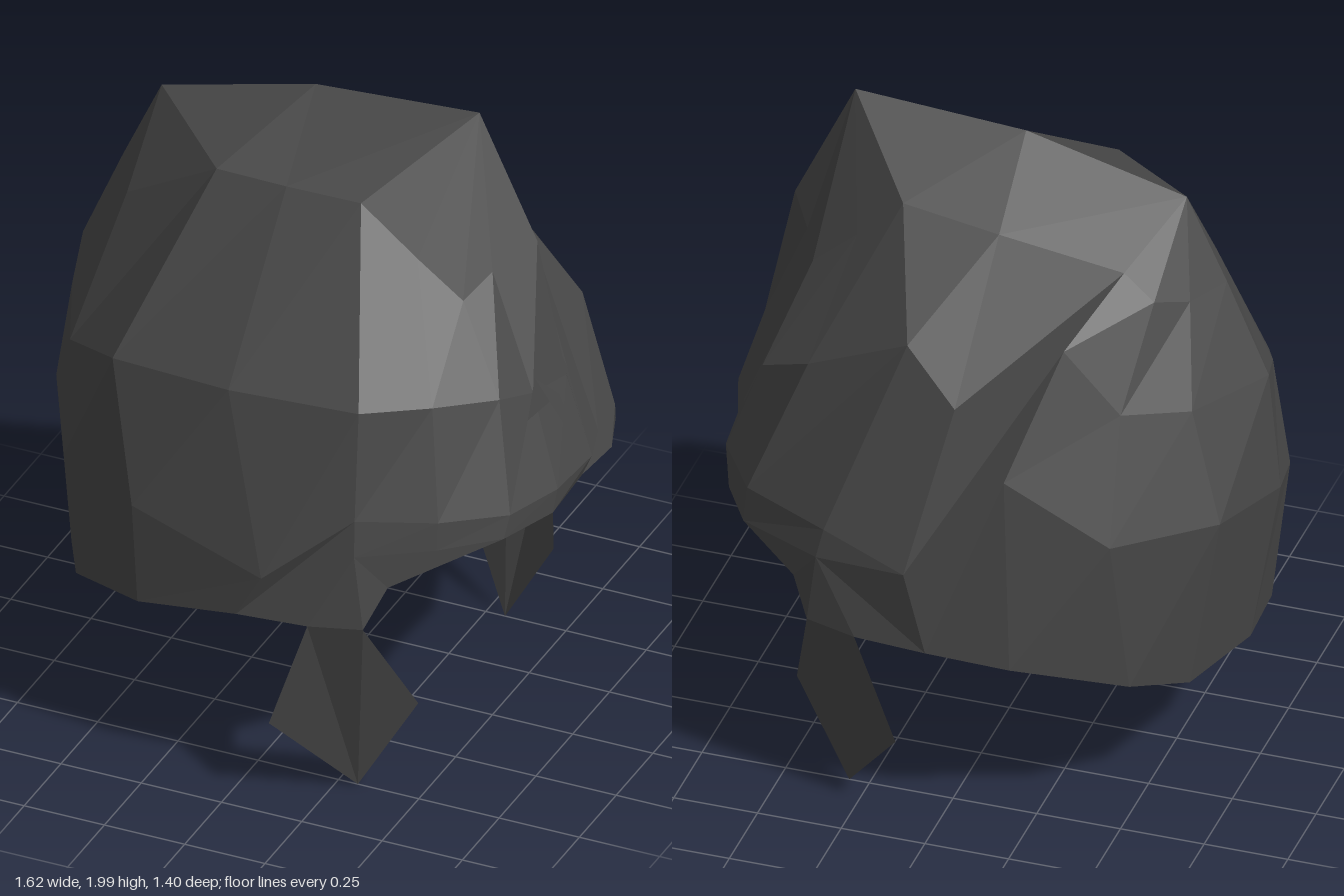
import * as THREE from 'three';

const charcoal = new THREE.MeshStandardMaterial({ color: 0x484848 });
charcoal.name = 'charcoal';
charcoal.flatShading = true;
charcoal.side = THREE.DoubleSide;

// Mesh from a list of triangles, each three corner points.
function facetMesh(name, triangles) {
  const g = new THREE.BufferGeometry();
  g.setAttribute('position', new THREE.Float32BufferAttribute(triangles.flat(2), 3));
  g.computeVertexNormals();
  const mesh = new THREE.Mesh(g, charcoal);
  mesh.name = name;
  return mesh;
}

const fan = (pts) => pts.slice(2).map((p, i) => [pts[0], pts[i + 1], p]);

// Skin between neighbouring ribs, skipping faces that collapse at the ridge.
function loft(ribs) {
  const tris = [];
  for (let i = 0; i + 1 < ribs.length; i++) {
    for (let j = 0; j + 1 < ribs[i].length; j++) {
      const a = ribs[i][j], b = ribs[i + 1][j];
      const c = ribs[i][j + 1], d = ribs[i + 1][j + 1];
      tris.push([a, c, b]);
      if (c !== d) tris.push([c, d, b]);
    }
  }
  return tris;
}

// Hanging leaf-shaped strap; s is the side, outer the depth of its outer corner.
function strap(s, outer) {
  const pts = [[0.31, 0.01, 0.5], [0.48, 0.3, 0.46], [0.39, 0.62, 0.64],
    [0.235, 0.615, 0.68], [0.12, 0.27, outer]].map(([x, y, z]) => [x, y, z * s]);
  return fan(s > 0 ? pts : [pts[0], ...pts.slice(1).reverse()]);
}

export function createModel() {
  const model = new THREE.Group();
  model.name = 'helmet';

  // Ridge points and the two ribs on the centre line (rim to ridge)
  const peak = [0.46, 2, 0], crest = [-0.05, 1.965, 0], back = [-0.53, 1.84, 0];
  const brow = [[0.78, 0.88, 0], [0.81, 0.95, 0], [0.73, 1.2, 0], [0.64, 1.62, 0], peak];
  const nape = [[-0.72, 0.4, 0], [-0.81, 0.92, 0], [-0.775, 1.29, 0], [-0.65, 1.58, 0], back];

  // Ribs of the left half, face opening to nape
  const left = [
    [[0.78, 0.865, 0.2], [0.79, 0.94, 0.19], [0.7, 1.22, 0.16], [0.56, 1.57, 0.13], peak],
    [[0.71, 0.86, 0.38], [0.72, 0.93, 0.36], [0.65, 1.25, 0.28], [0.51, 1.51, 0.22], peak],
    [[0.56, 0.855, 0.51], [0.56, 0.94, 0.5], [0.51, 1.27, 0.43], [0.38, 1.63, 0.245], peak],
    [[0.36, 0.85, 0.635], [0.355, 0.96, 0.62], [0.34, 1.28, 0.56], [0.21, 1.78, 0.26], peak],
    [[0.02, 0.61, 0.695], [0.1, 0.75, 0.7], [-0.05, 1.28, 0.595], [-0.02, 1.78, 0.265], crest],
    [[-0.31, 0.54, 0.645], [-0.33, 0.85, 0.64], [-0.44, 1.25, 0.53], [-0.24, 1.78, 0.26], back],
    [[-0.6, 0.44, 0.43], [-0.67, 0.78, 0.36], [-0.66, 1.15, 0.34], [-0.56, 1.57, 0.17], back],
    [[-0.71, 0.4, 0.22], [-0.785, 0.9, 0.16], [-0.73, 1.23, 0.17], [-0.61, 1.58, 0.09], back],
  ];

  // Ribs of the right half, which is dented a little differently
  const right = [
    [[0.78, 0.86, -0.2], [0.76, 0.94, -0.15], [0.65, 1.2, -0.12], [0.57, 1.57, -0.1], peak],
    [[0.71, 0.84, -0.38], [0.74, 0.93, -0.31], [0.62, 1.25, -0.35], [0.52, 1.53, -0.2], peak],
    [[0.63, 0.81, -0.49], [0.62, 0.92, -0.485], [0.46, 1.33, -0.42], [0.38, 1.66, -0.22], peak],
    [[0.36, 0.84, -0.65], [0.34, 0.93, -0.64], [0.14, 1.5, -0.49], [0.24, 1.8, -0.23], peak],
    [[0.02, 0.61, -0.69], [0.08, 0.87, -0.705], [-0.02, 1.35, -0.545], [-0.05, 1.76, -0.24], crest],
    [[-0.22, 0.58, -0.655], [-0.19, 1.18, -0.615], [-0.3, 1.52, -0.41], [-0.41, 1.68, -0.2], back],
    [[-0.52, 0.48, -0.48], [-0.475, 0.96, -0.52], [-0.46, 1.32, -0.38], [-0.5, 1.6, -0.2], back],
    [[-0.64, 0.41, -0.3], [-0.73, 0.96, -0.3], [-0.63, 1.29, -0.25], [-0.58, 1.57, -0.12], back],
  ];

  // Shell halves, with cheek pieces joining brim, side and strap
  model.add(
    facetMesh('shellLeft', loft([brow, ...left, nape])),
    facetMesh('shellRight', loft([nape, ...right.toReversed(), brow])),
    facetMesh('cheekLeft', fan([left[3][0], left[4][0], [0.235, 0.615, 0.68],
      [0.39, 0.62, 0.64], [0.44, 0.74, 0.58], left[1][0], left[2][0]])),
    facetMesh('cheekRight', fan([right[3][0], right[2][0], [0.44, 0.74, -0.61],
      [0.39, 0.62, -0.64], [0.235, 0.615, -0.68], right[4][0]])),
    facetMesh('strapLeft', strap(1, 0.69)),
    facetMesh('strapRight', strap(-1, 0.655)),
  );

  // Uneven folds above the face opening
  const fold = [0.705, 1.27, 0.16], tip = [0.735, 1.17, 0.06];
  model.add(facetMesh('browFolds', [
    [fold, [0.81, 0.95, 0.03], tip],
    [fold, tip, [0.715, 1.17, 0.23]],
    [right[1][3], right[0][1], brow[1]],
  ]));

  model.position.y = -0.005;
  return model;
}
